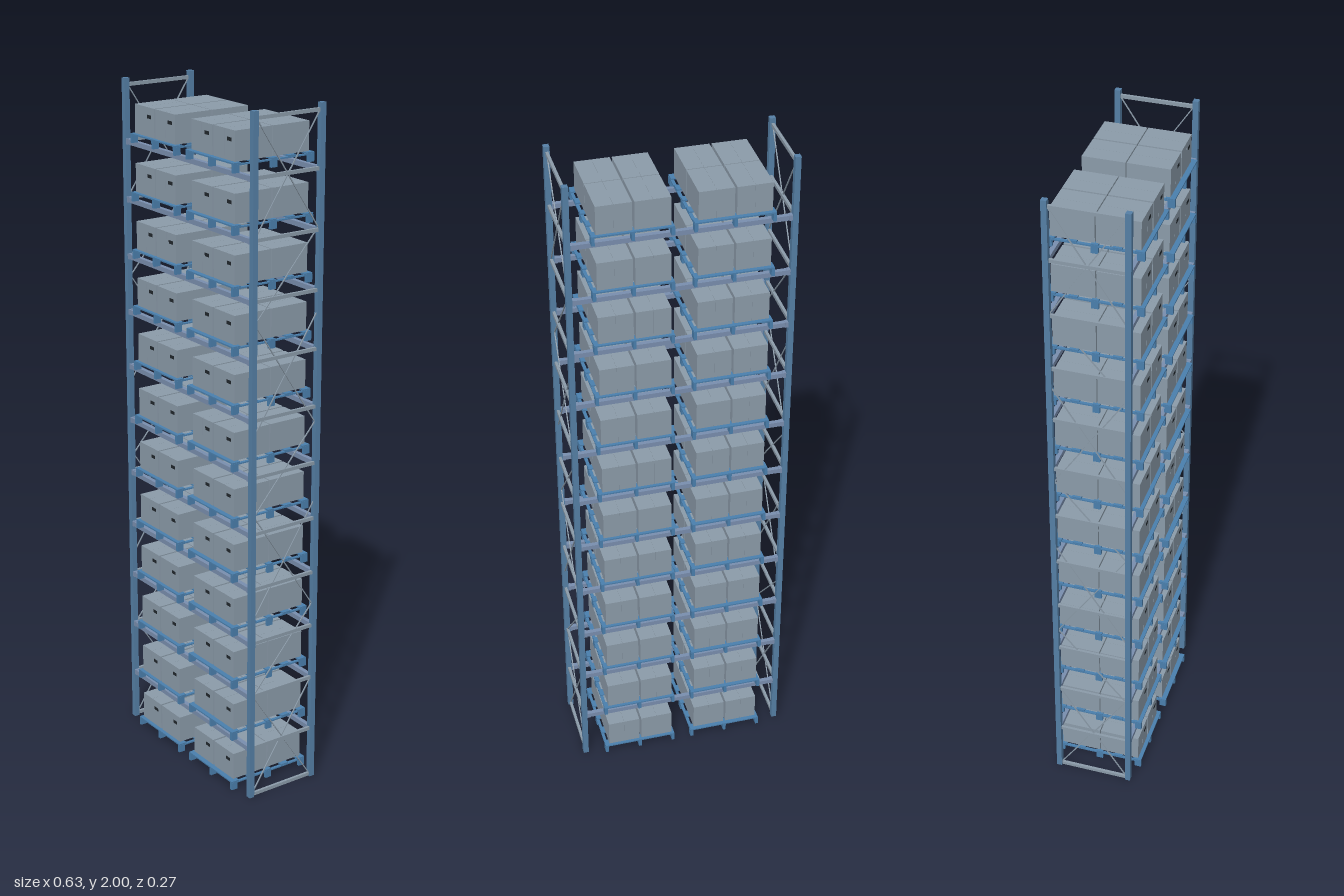
import * as THREE from 'three';
import { mergeGeometries } from 'three/addons/utils/BufferGeometryUtils.js';

const paint = (color) => new THREE.MeshStandardMaterial({ color });
const cartonGrey = paint(0x8b9ba9);
const strutGrey = paint(0x8b9ba9);
const beamBlue = paint(0x798eae);
const postBlue = paint(0x557fa5);
const palletBlue = paint(0x4a7fad);
const dark = paint(0x20262c);

const LEVELS = 11, STEP = 0.1666, FIRST = 0.156; // beam centre heights
const FRAME_X = 0.3055, FRAME_Z = 0.1095;

const box = (w, h, d, x = 0, y = 0, z = 0) => new THREE.BoxGeometry(w, h, d).translate(x, y, z);

function add(parent, name, geometry, material) {
  const mesh = new THREE.Mesh(geometry, material);
  mesh.name = name;
  parent.add(mesh);
  return mesh;
}

// Pallet standing on y = 0: blocks, lengthwise stringers and crosswise deck boards
function palletGeometry() {
  const parts = [];
  for (const x of [-0.106, 0, 0.106]) {
    parts.push(box(0.009, 0.004, 0.266, x, 0.021, 0));
    for (const z of [-0.123, 0, 0.123]) parts.push(box(0.009, 0.019, 0.02, x, 0.0095, z));
  }
  for (const [z, w] of [[-0.12, 0.026], [-0.06, 0.026], [0, 0.02], [0.06, 0.026], [0.12, 0.026]])
    parts.push(box(0.22, 0.004, w, 0, 0.025, z));
  return mergeGeometries(parts);
}

// Four cartons, each made of two halves that meet at a middle seam
function cartonGeometry() {
  const parts = [];
  for (const x of [-0.0515, 0.0515]) for (const z of [-0.0615, 0.0615])
    for (const half of [-0.0243, 0.0243]) parts.push(box(0.0482, 0.082, 0.12, x + half, 0.041, z));
  return mergeGeometries(parts);
}

// Hand holes on the front faces
function handleGeometry() {
  return mergeGeometries([-0.0515, 0.0515].map((x) => box(0.02, 0.01, 0.001, x + 0.0225, 0.056, 0.1212)));
}

// Thin bar in the end-frame plane between two (y, z) points
function rod(y1, z1, y2, z2) {
  const dy = y2 - y1, dz = z2 - z1;
  return box(0.003, 0.003, Math.hypot(dy, dz))
    .rotateX(-Math.atan2(dy, dz))
    .translate(0, (y1 + y2) / 2, (z1 + z2) / 2);
}

// End frame: two posts, horizontal struts and diagonal bracing
function endFrame(side) {
  const frame = new THREE.Group();
  frame.name = side > 0 ? 'leftEndFrame' : 'rightEndFrame';
  const posts = [-FRAME_Z, FRAME_Z].map((z) => box(0.016, 2, 0.016, 0, 1, z));
  const heights = [0.007, 1.981];
  for (let i = 0; i < LEVELS; i++) heights.push(FIRST + i * STEP + 0.003);
  const struts = heights.map((y) => box(0.008, 0.01, 0.206, 0, y, 0));

  // Crossed panels alternate with single diagonals
  const z = 0.103, braces = [];
  for (let i = 0; i < 4; i++) {
    const y0 = 0.01 + i * 0.552, y1 = y0 + 0.314;
    braces.push(rod(y0, -z, y1, z), rod(y0, z, y1, -z));
    if (i < 3) braces.push(rod(y1, z, y0 + 0.552, -z));
  }
  add(frame, 'posts', mergeGeometries(posts), postBlue);
  add(frame, 'struts', mergeGeometries(struts), strutGrey);
  add(frame, 'diagonalBraces', mergeGeometries(braces), strutGrey);
  frame.position.x = side * FRAME_X;
  return frame;
}

// Front and back beam of one level, with end connectors
function beamGeometry() {
  const parts = [];
  for (const z of [-FRAME_Z, FRAME_Z]) {
    parts.push(box(0.595, 0.014, 0.013, 0, 0, z));
    for (const x of [-0.293, 0.293]) parts.push(box(0.009, 0.016, 0.015, x, 0, z));
  }
  return mergeGeometries(parts);
}

export function createModel() {
  const model = new THREE.Group();
  model.name = 'palletRack';
  model.add(endFrame(-1), endFrame(1));

  const pallet = palletGeometry(), cartons = cartonGeometry();
  const handles = handleGeometry(), beam = beamGeometry();
  for (let i = 0; i <= LEVELS; i++) {
    const beamY = FIRST + (i - 1) * STEP;
    if (i > 0) add(model, 'beams', beam, beamBlue).position.y = beamY;
    for (const side of [-1, 1]) {
      const load = new THREE.Group();
      load.name = side > 0 ? 'leftLoad' : 'rightLoad';
      load.position.set(side > 0 ? 0.1355 : -0.1375, i > 0 ? beamY + 0.007 : 0, 0);
      add(load, 'pallet', pallet, palletBlue);
      const goods = new THREE.Group();
      goods.name = 'cartonStack';
      goods.position.set(-0.0025, 0.027, side > 0 ? -0.003 : 0.0005);
      add(goods, 'cartons', cartons, cartonGrey);
      add(goods, 'handHoles', handles, dark);
      load.add(goods);
      model.add(load);
    }
  }
  return model;
}
